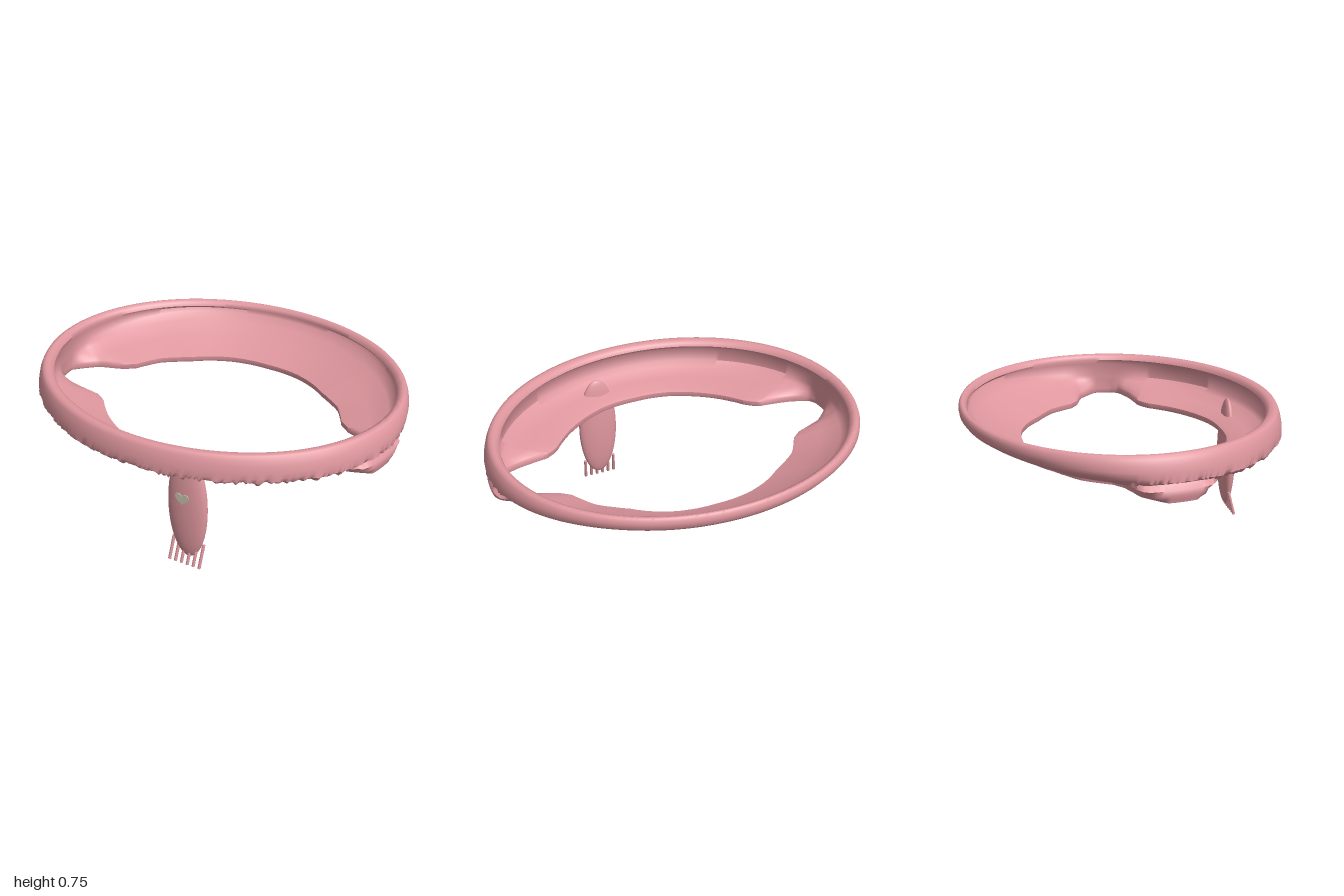
import * as THREE from 'three';
import { toCreasedNormals } from 'three/addons/utils/BufferGeometryUtils.js';

const { lerp, smoothstep, clamp } = THREE.MathUtils;
const DEPTH = 0.835; // z radius of the oval; x radius is 1

// Opening size (fraction of the oval) by angle in degrees from the front
const OPENING = [
  [0, 0.67], [9, 0.673], [17, 0.672], [28, 0.66], [38, 0.652], [50, 0.645], [58, 0.645],
  [62, 0.658], [65.6, 0.683], [69, 0.755], [72.6, 0.838], [77, 0.922], [80, 0.935],
  [87, 0.93], [91.5, 0.87], [95.5, 0.82], [98, 0.755], [101, 0.695], [106, 0.655], [113, 0.645],
  [121, 0.64], [130, 0.618], [138, 0.606], [150, 0.614], [161, 0.618], [170, 0.616], [180, 0.611],
];

function openingAt(deg) {
  let k = 0;
  while (k < OPENING.length - 2 && deg > OPENING[k + 1][0]) k++;
  const [a, r] = OPENING[k], [b, q] = OPENING[k + 1];
  return lerp(r, q, clamp((deg - a) / (b - a), 0, 1));
}

let seed = 7;
function noise() {
  seed = (seed * 16807) % 2147483647;
  return seed / 2147483647;
}

// Closed cross-section of the band: [fraction of oval, height]
function section(deg) {
  const s = openingAt(deg);
  const back = smoothstep(deg, 80, 150);
  const lobe = smoothstep(s, 0.72, 0.92);
  const lip = lerp(0.9, 0.945, smoothstep(deg, 20, 170));
  const step = Math.min(s + 0.06, 0.985);
  const mid = lerp(step, 0.98, 0.45);
  const blend = (p, q, w) => [lerp(p[0], q[0], w), lerp(p[1], q[1], w)];
  const mix = (f, b) => blend(f, b, back);
  const toLobe = (p, q) => blend(p, q, lobe);
  const rag = deg < 98 ? noise() : 0; // ragged lower edge
  const rag2 = deg < 98 ? noise() : 0;
  return [
    // rounded lip
    [lip, 0.716],
    [lip + 0.008, 0.734],
    [lip + 0.025, 0.744],
    mix([0.95, 0.746], [0.978, 0.746]),
    mix([0.966, 0.743], [0.988, 0.743]),
    // outer wall
    mix([0.977, 0.727], [0.996, 0.732]),
    mix([0.988, 0.70], [1.0, 0.715]),
    mix([0.996, 0.665], [0.995, 0.69]),
    mix([0.998, 0.635], [0.975, 0.667]),
    mix([0.988 + rag * 0.014, 0.618 - rag2 * 0.008], [0.935, 0.643]),
    // underside, tucked into the side lobes
    toLobe(mix([0.945 + rag2 * 0.03, 0.602 - rag * 0.02], [0.88, 0.619]), [0.965, 0.6]),
    toLobe(mix([mid + 0.06, 0.578 - rag2 * 0.01], [mid, 0.59]), [0.99, 0.575]),
    toLobe([step + 0.015, 0.553], [0.992, 0.55]),
    toLobe([step, 0.545], [0.985, 0.53]),
    // rim around the opening
    [step - 0.005, 0.512],
    [s + 0.005, 0.51],
    [s, 0.518],
    [s, 0.54],
    // floor rising to the inner wall
    [lerp(s, 0.93, 0.1), 0.55],
    mix([lerp(s, 0.93, 0.5), 0.568], [lerp(s, 0.94, 0.5), 0.6]),
    mix([lerp(s, 0.93, 0.88), 0.592], [lerp(s, 0.94, 0.85), 0.653]),
    mix([0.928, 0.615], [0.94, 0.688]),
    mix([0.93, 0.69], [0.95, 0.706]),
  ];
}

function bandGeometry(segments) {
  const positions = [], index = [];
  for (let i = 0; i < segments; i++) {
    const t = (i / segments) * Math.PI * 2;
    const ring = section(180 - Math.abs(180 - (i / segments) * 360));
    const n = ring.length;
    for (const [r, y] of ring) positions.push(Math.sin(t) * r, y, Math.cos(t) * r * DEPTH);
    for (let j = 0; j < n; j++) {
      const i2 = (i + 1) % segments, j2 = (j + 1) % n;
      const a = i * n + j, b = i2 * n + j, c = i * n + j2, d = i2 * n + j2;
      index.push(a, c, b, b, c, d);
    }
  }
  const g = new THREE.BufferGeometry();
  g.setAttribute('position', new THREE.Float32BufferAttribute(positions, 3));
  g.setIndex(index);
  return toCreasedNormals(g, 0.85);
}

export function createModel() {
  const model = new THREE.Group();
  const pink = new THREE.MeshStandardMaterial({ color: 0xe0989f });
  pink.name = 'dusty pink';
  const stone = new THREE.MeshStandardMaterial({ color: 0xc8c2ae });
  stone.name = 'pale stone';

  function add(parent, name, geometry, material) {
    const mesh = new THREE.Mesh(geometry, material);
    mesh.name = name;
    parent.add(mesh);
    return mesh;
  }

  // Oval band with inner flange and side notches
  add(model, 'band', bandGeometry(480), pink);

  // Hanging flattened arm, poking through the front flange
  const pendant = new THREE.Group();
  pendant.name = 'pendant';
  model.add(pendant);
  const body = add(pendant, 'pendantBody', new THREE.SphereGeometry(1, 48, 32), pink);
  body.scale.set(0.11, 0.305, 0.043);
  body.position.set(0.191, 0.345, 0.65);

  // Row of thin fingers at the tip
  for (let i = 0; i < 6; i++) {
    const foot = new THREE.Vector3(0.094 + i * 0.0345, 0.002, 0.677);
    const top = new THREE.Vector3(0.104 + i * 0.0345, 0.13, 0.645);
    const dir = top.clone().sub(foot);
    const finger = add(pendant, 'finger', new THREE.CylinderGeometry(0.008, 0.008, dir.length(), 12), pink);
    finger.position.copy(foot).add(top).multiplyScalar(0.5);
    finger.quaternion.setFromUnitVectors(new THREE.Vector3(0, 1, 0), dir.normalize());
  }

  // Small heart plate in front of the arm
  const heart = new THREE.Shape();
  heart.moveTo(0, -0.032);
  heart.bezierCurveTo(-0.012, -0.018, -0.038, -0.006, -0.038, 0.012);
  heart.bezierCurveTo(-0.038, 0.034, -0.008, 0.036, 0, 0.016);
  heart.bezierCurveTo(0.008, 0.036, 0.038, 0.034, 0.038, 0.012);
  heart.bezierCurveTo(0.038, -0.006, 0.012, -0.018, 0, -0.032);
  const plate = new THREE.ExtrudeGeometry(heart, { depth: 0.004, bevelEnabled: false, curveSegments: 10 });
  add(pendant, 'heart', plate, stone).position.set(0.193, 0.412, 0.706);

  return model;
}
